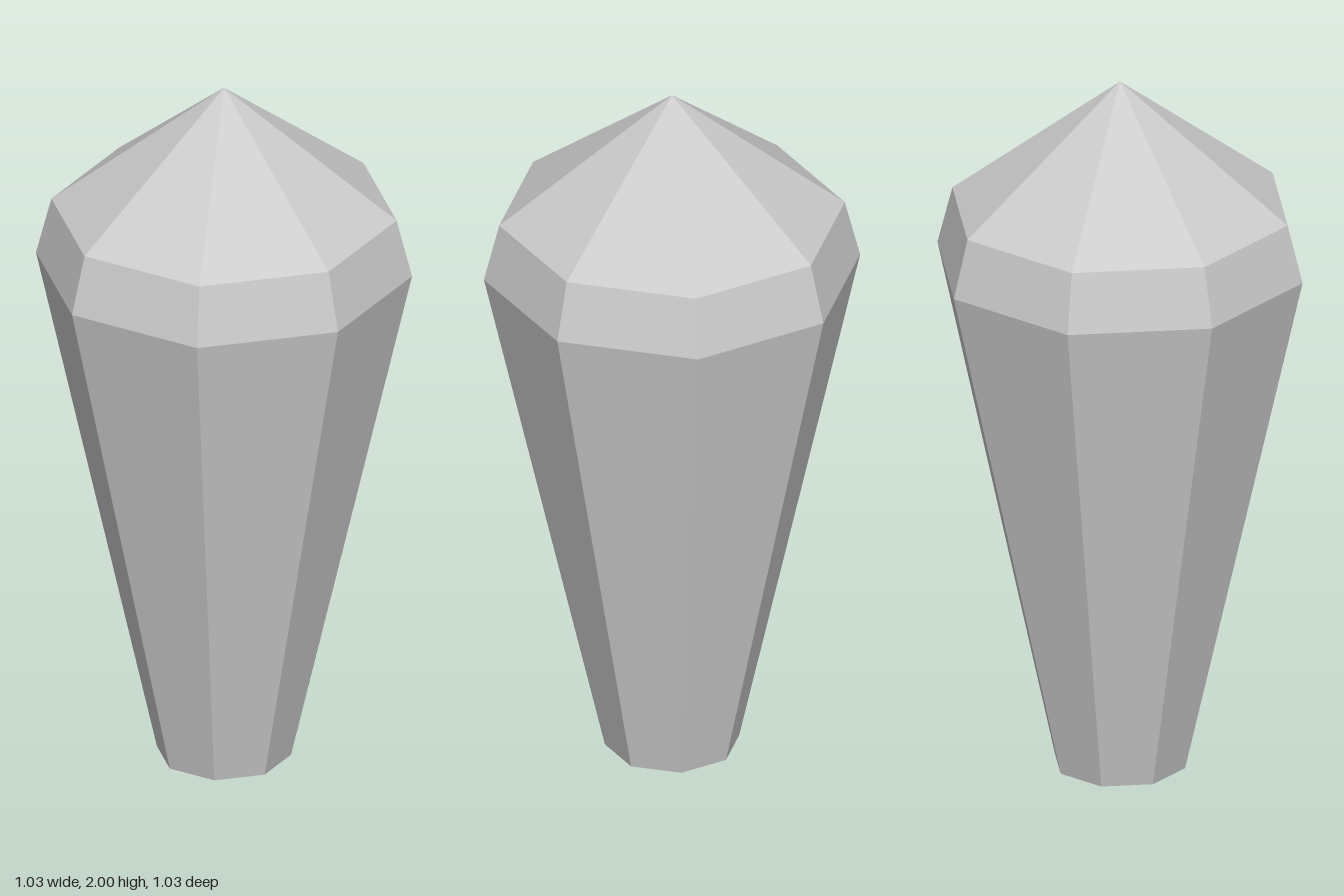
import * as THREE from 'three';

const SIDES = 8;

export function createModel() {
  const group = new THREE.Group();
  group.name = 'facetedCrystal';
  const material = new THREE.MeshStandardMaterial({ color: 0xcccccc, flatShading: true });

  // One octagonal tier between two heights, corners on the x and z axes
  function addTier(name, y0, r0, y1, r1) {
    const geometry = new THREE.CylinderGeometry(r1, r0, y1 - y0, SIDES, 1, true);
    const mesh = new THREE.Mesh(geometry, material);
    mesh.name = name;
    mesh.position.y = (y0 + y1) / 2;
    group.add(mesh);
  }

  addTier('taperedBody', 0, 0.183, 1.467, 0.513);
  addTier('shoulderBand', 1.467, 0.513, 1.632, 0.471);
  addTier('pointedCap', 1.632, 0.471, 2, 0);

  // Flat underside closing the narrow end
  const base = new THREE.Mesh(new THREE.CircleGeometry(0.183, SIDES), material);
  base.name = 'base';
  base.rotation.x = Math.PI / 2;
  group.add(base);

  return group;
}
